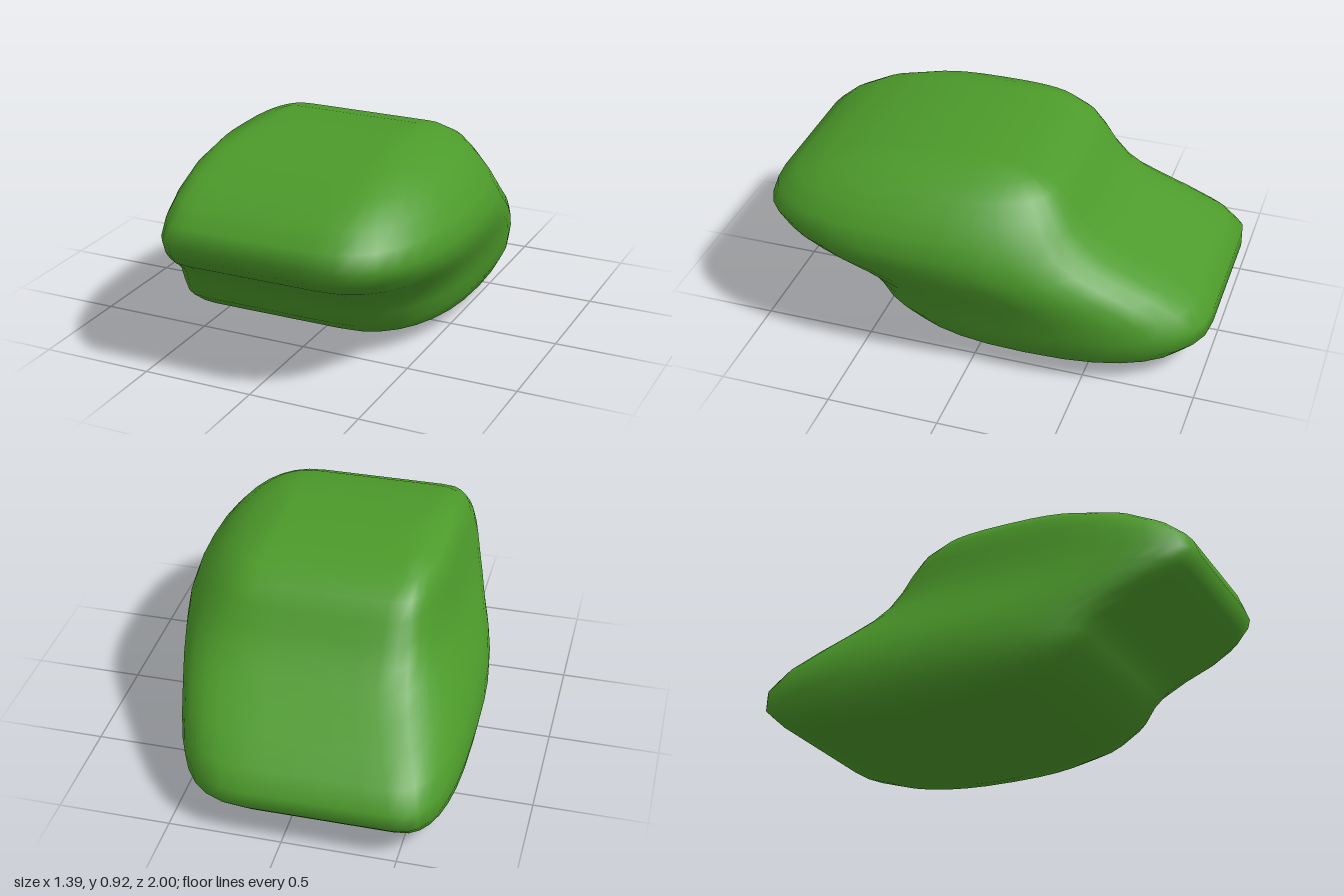
import * as THREE from 'three';
import { mergeVertices } from 'three/addons/utils/BufferGeometryUtils.js';

// Horizontal sections from base to crown: y, xMin, xMax, zMin, zMax
const SECTIONS = [
  [0.005, -0.47, 0.15, -0.24, -0.24],
  [0.02, -0.59, 0.36, -0.54, 0.05],
  [0.05, -0.65, 0.47, -0.79, 0.29],
  [0.10, -0.685, 0.54, -0.93, 0.44],
  [0.165, -0.695, 0.575, -1.0, 0.53],
  [0.24, -0.69, 0.59, -1.0, 0.575],
  [0.32, -0.67, 0.61, -0.93, 0.64],
  [0.40, -0.63, 0.64, -0.81, 0.75],
  [0.47, -0.595, 0.67, -0.69, 0.87],
  [0.535, -0.565, 0.69, -0.58, 0.95],
  [0.605, -0.54, 0.695, -0.49, 1.0],
  [0.685, -0.52, 0.67, -0.42, 0.97],
  [0.76, -0.505, 0.61, -0.37, 0.88],
  [0.83, -0.487, 0.54, -0.31, 0.74],
  [0.88, -0.455, 0.45, -0.22, 0.55],
  [0.91, -0.375, 0.35, -0.08, 0.34],
  [0.92, -0.30, 0.28, 0.13, 0.13],
];

const CORNER = 8; // steps per rounded corner
const FLAT = 6; // steps along each straight edge

// Closed outline: straight front and back edges joined by superelliptic ends
function outline([y, xMin, xMax, zMin, zMax]) {
  const t = THREE.MathUtils.smoothstep(y, 0.2, 0.6);
  const a = THREE.MathUtils.lerp(-0.47, -0.30, t);
  const b = THREE.MathUtils.lerp(0.15, 0.28, t);
  const zc = (zMin + zMax) / 2, hz = (zMax - zMin) / 2;
  const pts = [];
  const bend = (v, n) => Math.sign(v) * Math.pow(Math.abs(v), 2 / n);
  const end = (x0, reach, start, n) => {
    for (let i = 0; i <= 2 * CORNER; i++) {
      const ang = start + (i / (2 * CORNER)) * Math.PI;
      const c = Math.abs(Math.cos(ang)), s = Math.sin(ang);
      pts.push([x0 + reach * bend(c < 1e-9 ? 0 : c, n), y, zc + hz * bend(s, n)]);
    }
  };
  const edge = (x0, x1, z) => {
    for (let i = 1; i < FLAT; i++) pts.push([x0 + ((x1 - x0) * i) / FLAT, y, z]);
  };
  end(b, xMax - b, -Math.PI / 2, 2.4);
  edge(b, a, zMax);
  end(a, xMin - a, Math.PI / 2, 2.7);
  edge(a, b, zMin);
  return pts;
}

function loft(rings) {
  const n = rings[0].length, index = [];
  for (let i = 0; i < rings.length - 1; i++) {
    for (let j = 0; j < n; j++) {
      const k = (j + 1) % n, lo = i * n, hi = lo + n;
      index.push(lo + j, hi + j, lo + k, lo + k, hi + j, hi + k);
    }
  }
  let geo = new THREE.BufferGeometry();
  geo.setAttribute('position', new THREE.Float32BufferAttribute(rings.flat(2), 3));
  geo.setIndex(index);
  geo = mergeVertices(geo, 1e-4); // closes the base and crown ridges
  geo.computeVertexNormals();
  return geo;
}

export function createModel() {
  const group = new THREE.Group();
  group.name = 'mossyRock';
  // Lower lobe leans back, upper lobe overhangs the front
  const body = new THREE.Mesh(
    loft(SECTIONS.map(outline)),
    new THREE.MeshStandardMaterial({ color: 0x4c9a2a })
  );
  body.name = 'roundedBody';
  group.add(body);
  return group;
}
